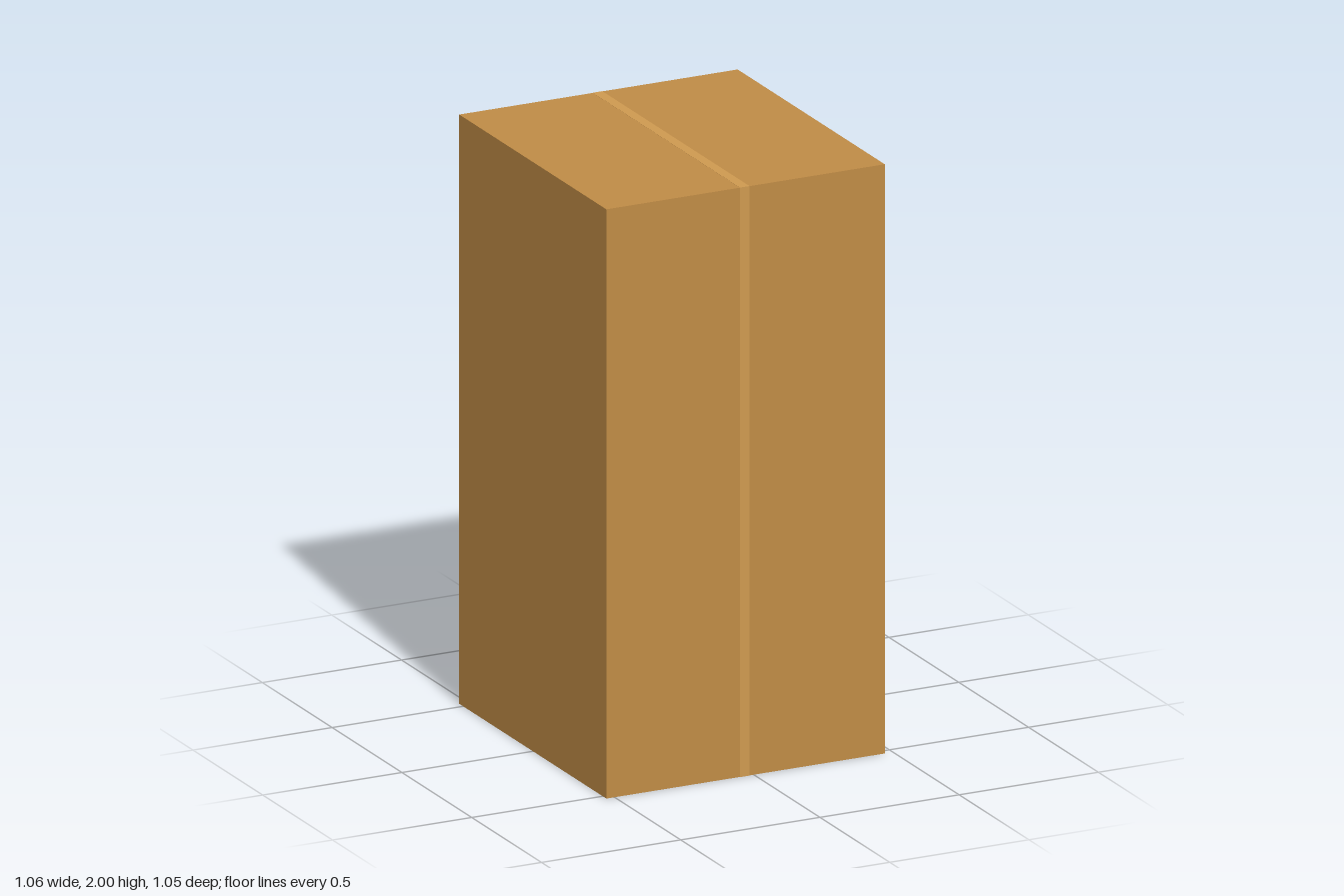
import * as THREE from 'three';

const wood = new THREE.MeshStandardMaterial({ color: 0xc08c46 });
const trim = new THREE.MeshStandardMaterial({ color: 0xcf9a50 });
const orange = new THREE.MeshStandardMaterial({ color: 0xb85c0c });
const hingeBrown = new THREE.MeshStandardMaterial({ color: 0x8a4a10 });
const steel = new THREE.MeshStandardMaterial({ color: 0x888888 });
const dark = new THREE.MeshStandardMaterial({ color: 0x222222 });

function add(parent, name, geometry, material, x, y, z) {
  const mesh = new THREE.Mesh(geometry, material);
  mesh.name = name;
  mesh.position.set(x, y, z);
  parent.add(mesh);
  return mesh;
}

// Box given by its limits on each axis
function box(parent, name, material, [x0, x1], [y0, y1], [z0, z1]) {
  return add(parent, name, new THREE.BoxGeometry(x1 - x0, y1 - y0, z1 - z0), material,
    (x0 + x1) / 2, (y0 + y1) / 2, (z0 + z1) / 2);
}

// Backplate, round neck and hanging lever
function makeHandle(z, name) {
  const handle = new THREE.Group();
  handle.name = name;
  handle.position.set(0.47, 1.066, z);
  box(handle, 'backplate', steel, [0, 0.008], [-0.055, 0.059], [-0.029, 0.029]);

  const neck = new THREE.CylinderGeometry(0.019, 0.019, 0.048, 24);
  neck.rotateZ(Math.PI / 2);
  add(handle, 'neck', neck, steel, 0.031, 0, 0);

  // Lever outline: round head running into a straight grip
  const shape = new THREE.Shape();
  shape.moveTo(-0.016, -0.094);
  shape.lineTo(0.016, -0.094);
  shape.lineTo(0.016, -0.01);
  shape.absarc(0, 0, 0.019, -0.56, Math.PI + 0.56, false);
  shape.lineTo(-0.016, -0.094);
  const lever = new THREE.ExtrudeGeometry(shape, { depth: 0.006, bevelEnabled: false, curveSegments: 16 });
  lever.rotateY(Math.PI / 2);
  add(handle, 'lever', lever, steel, 0.051, 0, 0);
  return handle;
}

export function createModel() {
  const cabinet = new THREE.Group();
  cabinet.name = 'cabinet';

  // Closed carcass with a flush joint band around its middle
  box(cabinet, 'body', wood, [-0.53, 0.47], [0.0005, 1.9995], [-0.527, 0.527]);
  box(cabinet, 'jointBand', trim, [-0.05, -0.016], [0, 2], [-0.5275, 0.5275]);

  // Pair of doors, meeting at a narrow dark gap
  const seamZ = -0.006;
  box(cabinet, 'doorGap', dark, [0.46, 0.471], [0.05, 1.95], [seamZ - 0.003, seamZ + 0.003]);
  box(cabinet, 'leftDoor', orange, [0.46, 0.472], [0.05, 1.95], [seamZ + 0.003, 0.475]);
  box(cabinet, 'rightDoor', orange, [0.46, 0.472], [0.05, 1.95], [-0.485, seamZ - 0.003]);

  // Full-height hinge rods on the outer door edges
  for (const [name, z] of [['leftHinge', 0.468], ['rightHinge', -0.479]]) {
    add(cabinet, name, new THREE.CylinderGeometry(0.006, 0.006, 1.9, 12), hingeBrown, 0.473, 1, z);
  }

  // Handles, with a keyhole on the right one
  cabinet.add(makeHandle(0.049, 'leftHandle'));
  const rightHandle = makeHandle(-0.071, 'rightHandle');
  box(rightHandle, 'keyhole', dark, [0.055, 0.0575], [-0.008, 0.008], [-0.002, 0.002]);
  cabinet.add(rightHandle);

  return cabinet;
}
